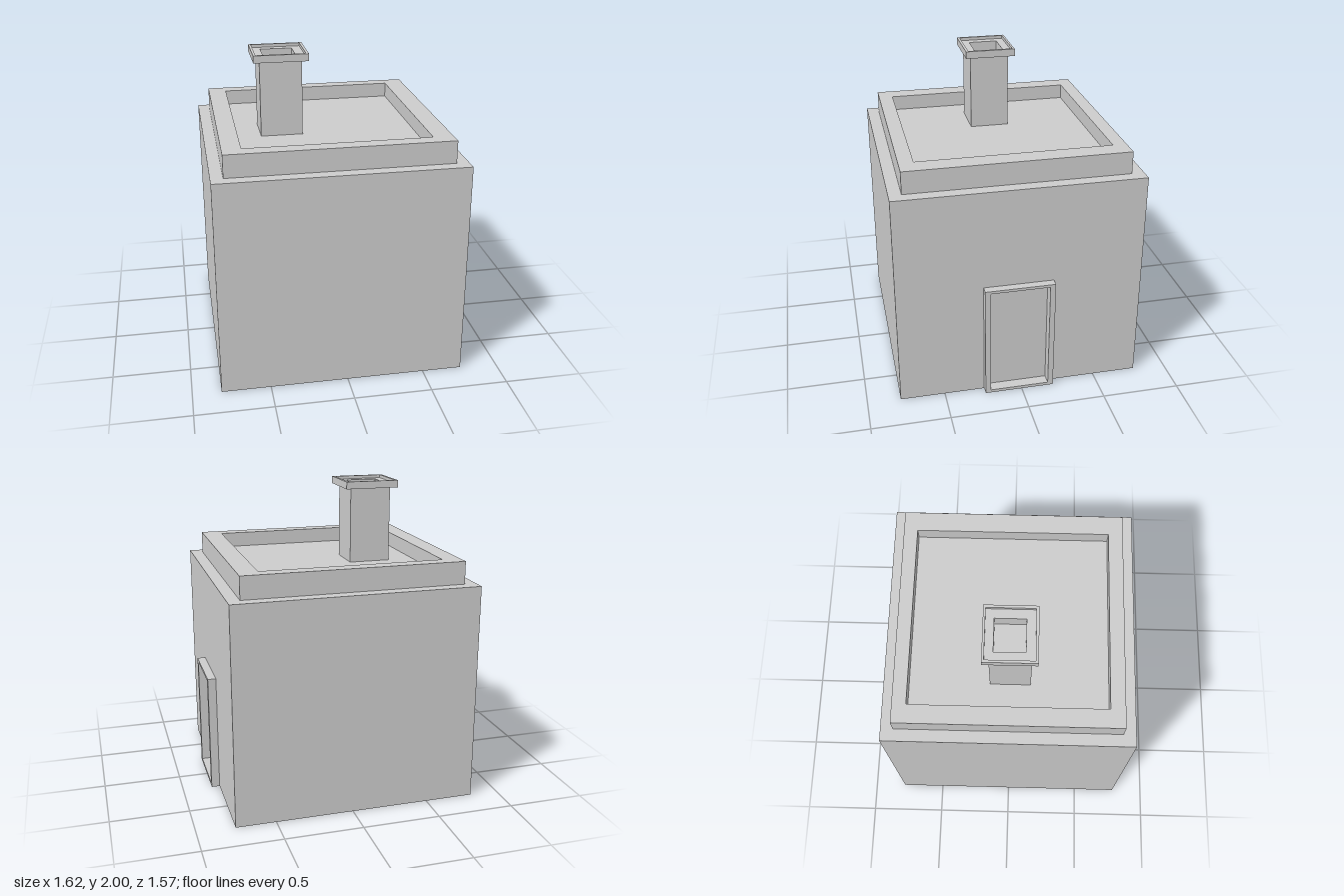
import * as THREE from 'three';

const material = new THREE.MeshStandardMaterial({ color: 0xcccccc, flatShading: true });

// Rectangle outline [a0, a1, b0, b1]
function trace(path, [a0, a1, b0, b1]) {
  path.moveTo(a0, b0);
  path.lineTo(a1, b0);
  path.lineTo(a1, b1);
  path.lineTo(a0, b1);
  path.closePath();
  return path;
}

function frame(outer, hole, depth) {
  const shape = trace(new THREE.Shape(), outer);
  shape.holes.push(trace(new THREE.Path(), hole));
  return new THREE.ExtrudeGeometry(shape, { depth, bevelEnabled: false });
}

export function createModel() {
  const model = new THREE.Group();

  function add(name, geometry) {
    const mesh = new THREE.Mesh(geometry, material);
    mesh.name = name;
    model.add(mesh);
  }

  function box(name, x0, x1, y0, y1, z0, z1) {
    add(name, new THREE.BoxGeometry(x1 - x0, y1 - y0, z1 - z0)
      .translate((x0 + x1) / 2, (y0 + y1) / 2, (z0 + z1) / 2));
  }

  // Flat ring lying in plan; rectangles are [x0, x1, z0, z1]
  function ring(name, outer, hole, y0, y1) {
    const flip = ([x0, x1, z0, z1]) => [x0, x1, -z1, -z0];
    add(name, frame(flip(outer), flip(hole), y1 - y0).rotateX(-Math.PI / 2).translate(0, y0, 0));
  }

  // Upright ring facing +x; rectangles are [z0, z1, y0, y1]
  function sideRing(name, outer, hole, x0, x1) {
    const flip = ([z0, z1, y0, y1]) => [-z1, -z0, y0, y1];
    add(name, frame(flip(outer), flip(hole), x1 - x0).rotateY(Math.PI / 2).translate(x0, 0, 0));
  }

  // House body, with a shallow door recess in its left wall
  const opening = [-0.175, 0.205, 0.02, 0.75];
  box('body', -0.815, 0.74, 0, 1.417, -0.787, 0.787);
  sideRing('doorWall', [-0.787, 0.787, 0, 1.417], opening, 0.74, 0.757);
  sideRing('doorFrame', [-0.21, 0.24, 0, 0.768], opening, 0.757, 0.81);

  // Parapet around a sunken roof
  const roof = [-0.62, 0.55, -0.62, 0.615];
  ring('parapet', [-0.738, 0.678, -0.708, 0.708], roof, 1.417, 1.562);
  box('roofDeck', roof[0], roof[1], 1.417, 1.465, roof[2], roof[3]);

  // Chimney: solid stack, hollow top, and a cap with a stepped rim
  const stack = [-0.45, -0.18, -0.12, 0.132];
  const flue = [-0.42, -0.215, -0.092, 0.095];
  const cap = [-0.49, -0.14, -0.157, 0.167];
  box('chimneyStack', stack[0], stack[1], 1.465, 1.89, stack[2], stack[3]);
  ring('chimneyMouth', stack, flue, 1.89, 1.953);
  ring('chimneyCap', cap, flue, 1.953, 1.98);
  ring('chimneyCapRim', cap, [-0.474, -0.157, -0.143, 0.15], 1.98, 2);

  return model;
}
